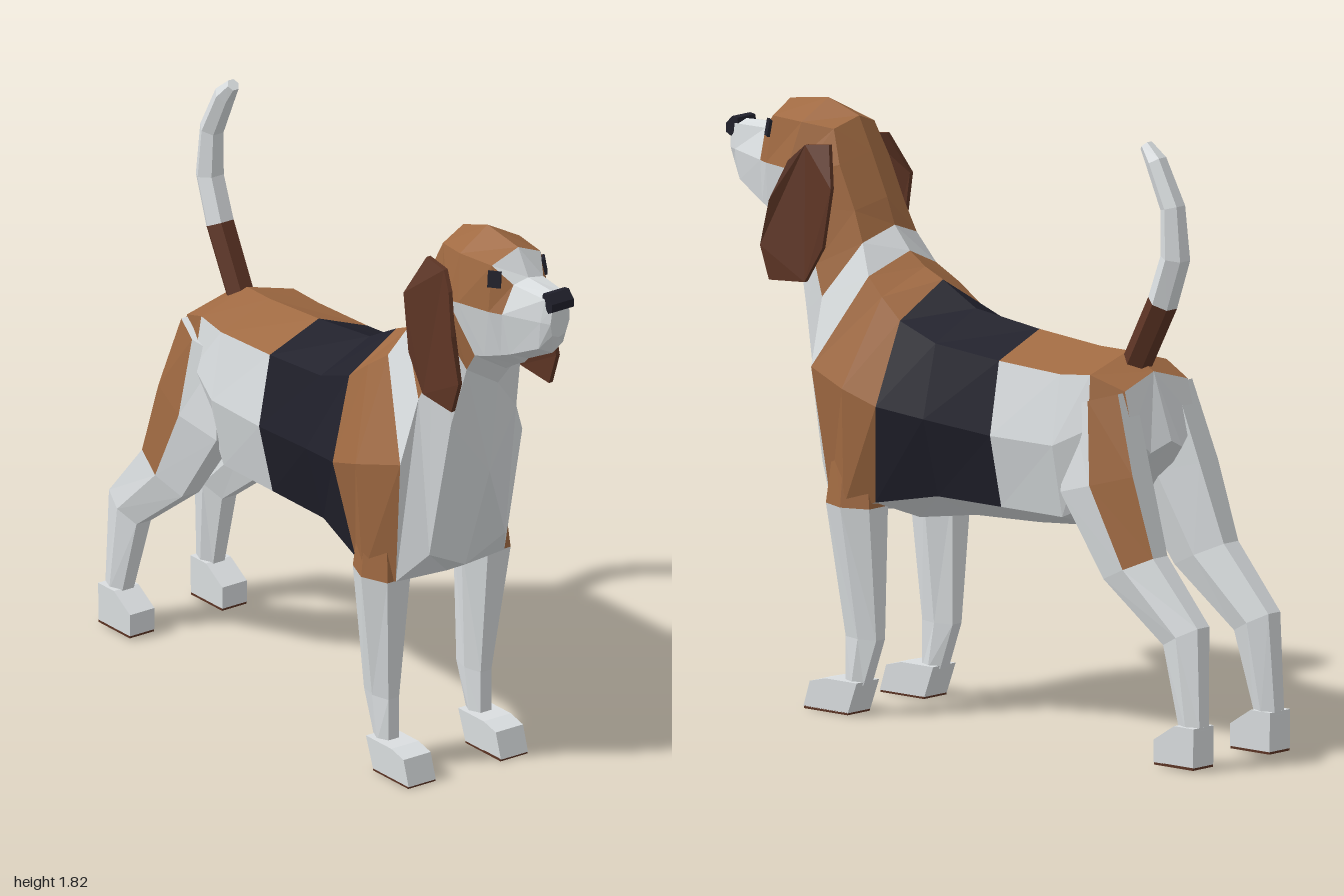
import * as THREE from 'three';

const flat = (name, color) => {
  const m = new THREE.MeshStandardMaterial({ color, flatShading: true });
  m.name = name;
  return m;
};

export function createModel() {
  const white = flat('white coat', 0xdadee0);
  const tan = flat('tan coat', 0xa06a42);
  const dark = flat('dark brown', 0x5c3424);
  const black = flat('black coat', 0x20202b);
  const dog = new THREE.Group();
  dog.name = 'dog';

  const add = (name, geometry, material) => {
    const mesh = new THREE.Mesh(geometry, material);
    mesh.name = name;
    dog.add(mesh);
    return mesh;
  };

  // Skin a run of rings; colourOf(segment, side) picks the coat of each quad
  function loft(name, rings, colourOf, flip = false) {
    const buckets = new Map();
    const tri = (mat, a, b, c) => {
      if (!buckets.has(mat)) buckets.set(mat, []);
      buckets.get(mat).push(...a, ...(flip ? c : b), ...(flip ? b : c));
    };
    const n = rings[0].length, last = rings.length - 1;
    for (let i = 0; i < last; i++) {
      for (let j = 0; j < n; j++) {
        const k = (j + 1) % n, mat = colourOf(i, j);
        const a = rings[i][j], b = rings[i][k], c = rings[i + 1][k], d = rings[i + 1][j];
        tri(mat, a, d, c);
        tri(mat, a, c, b);
      }
    }
    for (let j = 1; j < n - 1; j++) {
      tri(colourOf(0, 3), rings[0][0], rings[0][j], rings[0][j + 1]);
      tri(colourOf(last - 1, 3), rings[last][0], rings[last][j + 1], rings[last][j]);
    }
    const geo = new THREE.BufferGeometry(), pos = [], mats = [];
    for (const [mat, list] of buckets) {
      geo.addGroup(pos.length / 3, list.length / 3, mats.length);
      mats.push(mat);
      for (const v of list) pos.push(v);
    }
    geo.setAttribute('position', new THREE.Float32BufferAttribute(pos, 3));
    geo.computeVertexNormals();
    return add(name, geo, mats);
  }

  // Half ring (spine, ridge, flank, low side, belly) mirrored to a full one
  const mirror = (half) => [...half, ...half.slice(1, 4).reverse().map(([x, y, z]) => [-x, y, z])];

  // Each coat string gives ridge, flank, side and belly from one ring to the next
  const coats = { w: white, t: tan, b: black };
  function skin(name, halves, coat) {
    loft(name, halves.map(mirror), (i, j) => coats[coat[i][j < 4 ? j : 7 - j]]);
  }

  // Body, from rump to collar
  const collar = [[0, 1.44, 0.37], [0.12, 1.40, 0.39], [0.165, 1.23, 0.51], [0.14, 0.73, 0.53], [0, 0.66, 0.52]];
  skin('body', [
    [[0, 1.13, -0.65], [0.14, 1.09, -0.66], [0.14, 0.97, -0.69], [0.07, 0.90, -0.70], [0, 0.93, -0.72]],
    [[0, 1.18, -0.55], [0.17, 1.13, -0.55], [0.19, 0.97, -0.56], [0.12, 0.75, -0.56], [0, 0.78, -0.56]],
    [[0, 1.18, -0.44], [0.18, 1.12, -0.44], [0.215, 0.91, -0.44], [0.17, 0.69, -0.44], [0, 0.64, -0.44]],
    [[0, 1.20, -0.20], [0.18, 1.13, -0.20], [0.22, 0.91, -0.20], [0.17, 0.69, -0.20], [0, 0.62, -0.20]],
    [[0, 1.23, 0.05], [0.18, 1.15, 0.05], [0.235, 0.93, 0.05], [0.17, 0.69, 0.05], [0, 0.61, 0.05]],
    [[0, 1.30, 0.18], [0.18, 1.20, 0.19], [0.26, 0.95, 0.215], [0.21, 0.65, 0.26], [0, 0.575, 0.27]],
    [[0, 1.33, 0.25], [0.17, 1.26, 0.27], [0.27, 0.99, 0.34], [0.25, 0.63, 0.35], [0, 0.59, 0.35]],
    [[0, 1.37, 0.31], [0.15, 1.31, 0.34], [0.225, 1.03, 0.50], [0.20, 0.63, 0.445], [0, 0.61, 0.43]],
    collar,
  ], ['ttww', 'twww', 'twww', 'bbbw', 'bbbw', 'tttw', 'tttw', 'wwww']);

  // Neck, skull and muzzle
  skin('neckAndHead', [
    collar,
    [[0, 1.52, 0.40], [0.11, 1.49, 0.43], [0.15, 1.32, 0.55], [0.12, 1.17, 0.61], [0, 1.00, 0.64]],
    [[0, 1.65, 0.46], [0.11, 1.62, 0.49], [0.14, 1.48, 0.60], [0.10, 1.36, 0.66], [0, 1.30, 0.68]],
    [[0, 1.75, 0.51], [0.09, 1.72, 0.53], [0.14, 1.58, 0.62], [0.10, 1.42, 0.70], [0, 1.36, 0.72]],
    [[0, 1.79, 0.63], [0.11, 1.73, 0.64], [0.14, 1.59, 0.67], [0.095, 1.43, 0.74], [0, 1.39, 0.77]],
    [[0, 1.77, 0.78], [0.09, 1.73, 0.77], [0.11, 1.59, 0.78], [0.08, 1.45, 0.80], [0, 1.41, 0.81]],
    [[0, 1.69, 0.83], [0.055, 1.68, 0.83], [0.09, 1.59, 0.82], [0.07, 1.46, 0.83], [0, 1.43, 0.83]],
    [[0, 1.685, 0.97], [0.04, 1.675, 0.965], [0.05, 1.60, 0.955], [0.045, 1.51, 0.94], [0, 1.49, 0.95]],
    [[0, 1.66, 0.995], [0.03, 1.655, 0.99], [0.035, 1.60, 0.985], [0.025, 1.56, 0.98], [0, 1.55, 0.98]],
  ], ['ttww', 'ttww', 'tttw', 'ttww', 'ttww', 'wtww', 'wwww', 'wwww']);

  // Side outline in (z, y), given thickness across x and centred on x
  function sidePlate(points, width, x) {
    const shape = new THREE.Shape(points.map(([z, y]) => new THREE.Vector2(z, y)));
    const geo = new THREE.ExtrudeGeometry(shape, { depth: width, bevelEnabled: false });
    return geo.rotateY(-Math.PI / 2).translate(x + width / 2, 0, 0);
  }
  add('nose', sidePlate([[0.95, 1.67], [0.98, 1.635], [1.0, 1.645], [1.0, 1.67], [0.975, 1.695], [0.955, 1.692]], 0.08, 0), black);

  // Tail along a bent line, dark at the root: y, z, radius
  const spine = [[1.12, -0.57, 0.045], [1.34, -0.685, 0.046], [1.48, -0.735, 0.045],
    [1.63, -0.725, 0.038], [1.76, -0.66, 0.033], [1.805, -0.62, 0.02]];
  loft('tail', spine.map(([y, z, r], i) => {
    const p = spine[Math.max(i - 1, 0)], q = spine[Math.min(i + 1, spine.length - 1)];
    const len = Math.hypot(q[0] - p[0], q[1] - p[1]);
    const ty = (q[0] - p[0]) / len, tz = (q[1] - p[1]) / len;
    return Array.from({ length: 6 }, (_, k) => {
      const a = -k * Math.PI / 3, c = r * Math.cos(a), s = r * Math.sin(a);
      return [c, y + s * tz, z - s * ty];
    });
  }), (i) => (i < 1 ? dark : white));

  // Six-sided leg ring from its front and back points and its inner and outer x
  const legRing = (side) => ([zf, yf, zb, yb, xi, xo]) => {
    const d = (xo - xi) * 0.22, zm = (zf + zb) / 2, ym = (yf + yb) / 2;
    return [[xi + d, yf, zf], [xo - d, yf, zf], [xo, ym, zm], [xo - d, yb, zb], [xi + d, yb, zb], [xi, ym, zm]]
      .map(([x, y, z]) => [x * side, y, z]);
  };

  for (const side of [1, -1]) {
    const label = side > 0 ? 'left' : 'right';
    const flip = side < 0;

    // Foreleg, with the shoulder colour ending at the elbow
    loft(label + 'Foreleg', [
      [0.42, 0.82, 0.29, 0.82, 0.12, 0.24],
      [0.44, 0.63, 0.27, 0.63, 0.11, 0.26],
      [0.395, 0.23, 0.275, 0.23, 0.135, 0.205],
      [0.395, 0.09, 0.325, 0.09, 0.135, 0.205],
    ].map(legRing(side)), (i) => (i < 1 ? tan : white), flip);

    // Hind leg, with a tan band down the back of the thigh
    loft(label + 'HindLeg', [
      [-0.47, 1.03, -0.655, 1.085, 0.06, 0.195],
      [-0.45, 0.77, -0.735, 0.85, 0.075, 0.222],
      [-0.62, 0.53, -0.815, 0.615, 0.10, 0.215],
      [-0.85, 0.36, -0.985, 0.425, 0.11, 0.205],
      [-0.915, 0.12, -0.997, 0.12, 0.13, 0.205],
    ].map(legRing(side)), (i, j) => (i < 2 && j === 2 ? tan : white), flip);

    // Feet and pads
    add(label + 'Forefoot', sidePlate([[0.36, 0.006], [0.535, 0.006], [0.51, 0.085], [0.45, 0.1], [0.325, 0.1]], 0.1, side * 0.17), white);
    add(label + 'Hindfoot', sidePlate([[-0.995, 0.012], [-0.84, 0.012], [-0.84, 0.08], [-0.92, 0.13], [-0.997, 0.13]], 0.09, side * 0.17), white);
    add(label + 'Forepad', new THREE.BoxGeometry(0.1, 0.008, 0.172).translate(side * 0.17, 0.004, 0.447), dark);
    add(label + 'Hindpad', new THREE.BoxGeometry(0.09, 0.008, 0.153).translate(side * 0.17, 0.009, -0.918), dark);

    // Hanging ear, leaning in towards the skull at the top
    const ear = sidePlate([[0.60, 1.67], [0.51, 1.68], [0.46, 1.56], [0.49, 1.38], [0.56, 1.27],
      [0.70, 1.26], [0.735, 1.36], [0.70, 1.50], [0.65, 1.62]], 0.014, side * 0.18);
    const p = ear.attributes.position;
    for (let i = 0; i < p.count; i++) p.setX(i, p.getX(i) - side * 0.4 * Math.max(0, p.getY(i) - 1.55));
    ear.computeVertexNormals();
    add(label + 'Ear', ear, dark);

    // Eye plate on the slanted brow
    const eye = add(label + 'Eye', new THREE.BoxGeometry(0.04, 0.05, 0.009), black);
    eye.position.set(side * 0.092, 1.692, 0.786);
    eye.lookAt(side * 0.872, 1.862, 1.386);
  }
  return dog;
}
